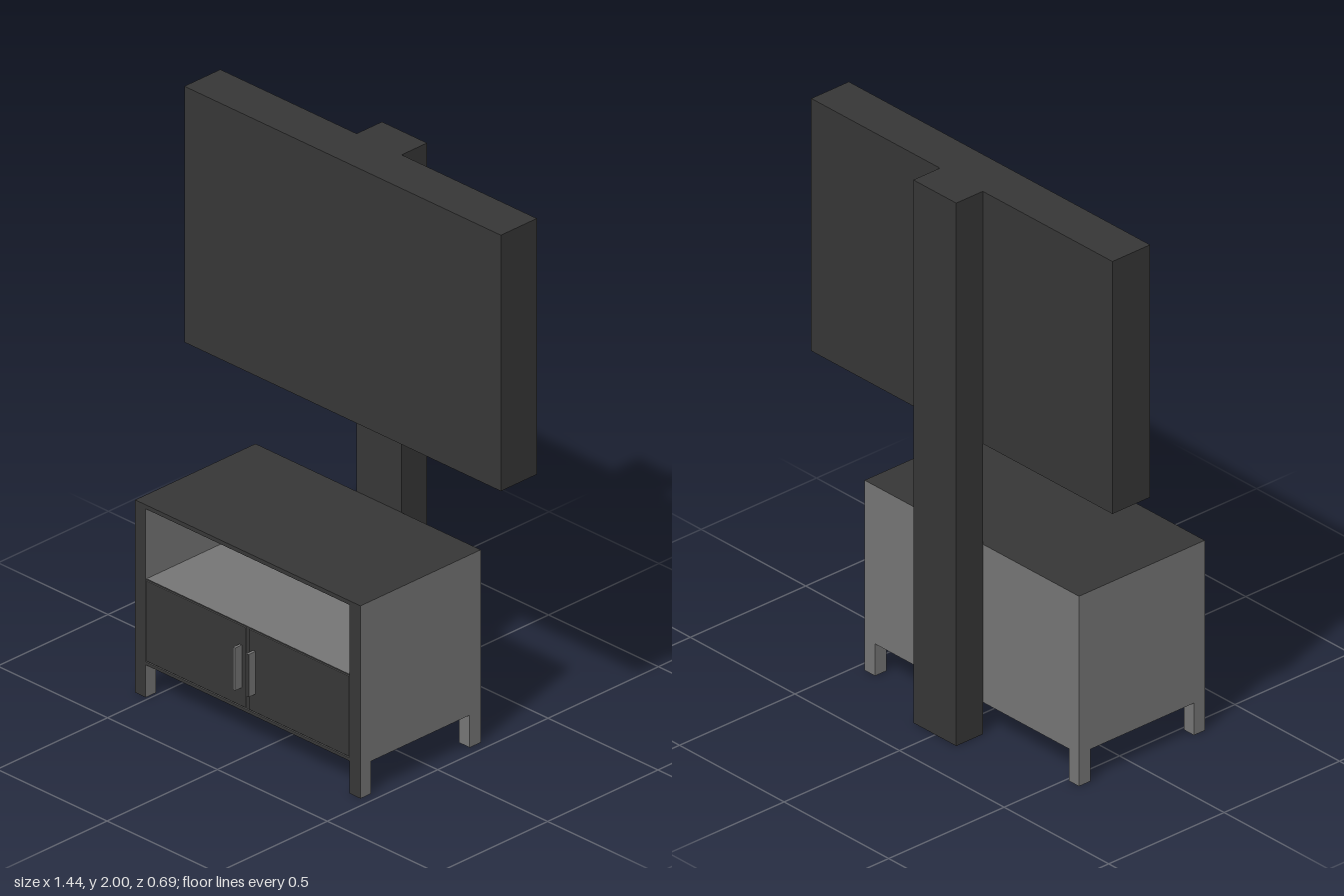
import * as THREE from 'three';

export function createModel() {
  const model = new THREE.Group();
  const dark = new THREE.MeshStandardMaterial({ color: 0x363636 });
  dark.name = 'charcoal';
  const grey = new THREE.MeshStandardMaterial({ color: 0x757575 });
  grey.name = 'mid grey';

  // Box from its limits; the named faces are dark, all others grey
  const faces = ['left', 'right', 'top', 'bottom', 'front', 'back'];
  function box(name, [x0, x1], [y0, y1], [z0, z1], darkFaces = faces) {
    const geometry = new THREE.BoxGeometry(x1 - x0, y1 - y0, z1 - z0);
    const mesh = new THREE.Mesh(geometry, faces.map(f => (darkFaces.includes(f) ? dark : grey)));
    mesh.position.set((x0 + x1) / 2, (y0 + y1) / 2, (z0 + z1) / 2);
    mesh.name = name;
    model.add(mesh);
  }

  // Screen and the post that carries it
  box('screen', [-0.72, 0.72], [1.07, 2], [-0.23, -0.067]);
  box('upperPost', [-0.1, 0.105], [0.7, 2], [-0.345, -0.23]);
  box('lowerPost', [-0.1, 0.105], [0, 0.7], [-0.345, -0.23], ['left', 'right', 'bottom', 'back']);

  // Cabinet shell with an open shelf above the cupboard
  const back = -0.23, front = 0.315, depth = [back, front];
  const sides = [[-0.56, -0.512], [0.415, 0.465]];
  const inner = [-0.512, 0.415];
  box('cabinetTop', [-0.56, 0.465], [0.685, 0.7], depth, ['top', 'front']);
  box('cabinetBack', inner, [0.43, 0.685], [back, -0.07], []);
  box('cupboard', inner, [0.118, 0.43], [back, 0.311], ['front']);
  for (const side of sides) {
    box('cabinetSide', side, [0.118, 0.685], depth, ['front']);
    box('frontLeg', side, [0, 0.118], [0.268, front], ['front']);
    box('backLeg', side, [0, 0.118], [back, -0.18], []);
  }
  box('bottomRail', inner, [0.118, 0.13], [0.311, front], ['front']);

  // Doors and handles
  box('rightDoor', [-0.51, -0.058], [0.133, 0.425], [0.311, 0.3145], ['front']);
  box('leftDoor', [-0.042, 0.413], [0.133, 0.425], [0.311, 0.3145], ['front']);
  box('rightHandle', [-0.085, -0.075], [0.2, 0.355], [front, 0.345], []);
  box('leftHandle', [-0.024, -0.013], [0.2, 0.355], [front, 0.345], ['front']);

  return model;
}
